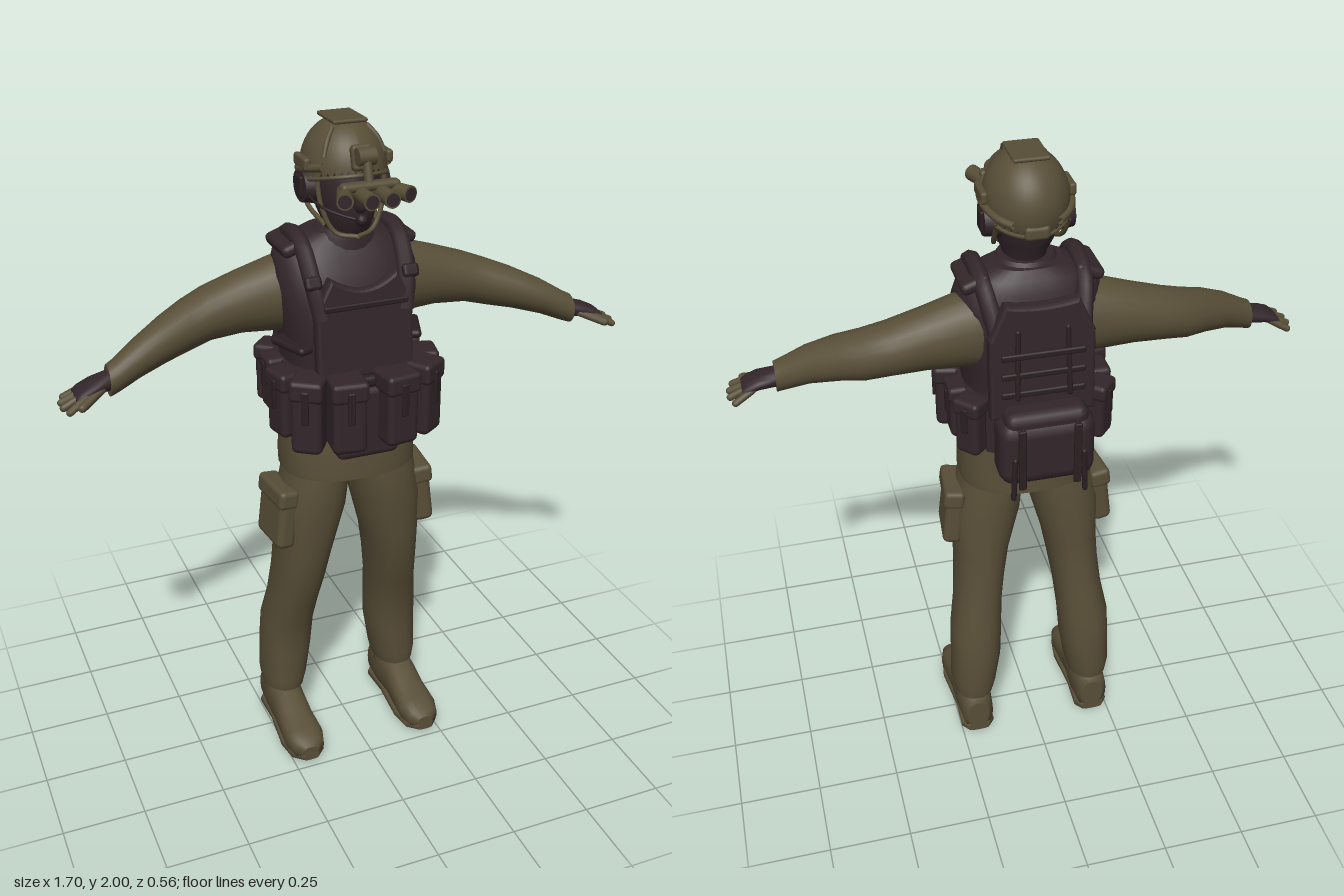
import * as THREE from 'three';
import { RoundedBoxGeometry } from 'three/addons/geometries/RoundedBoxGeometry.js';

const V = (p) => new THREE.Vector3(...p);

// Skin over elliptical sections. Each row: [t, u, v, ru, rv] with t along the axis.
// axis y: u=x v=z, axis x: u=y v=z, axis z: u=x v=y. pow < 1 squares the section.
function loft(axis, rows, pow = 1, n = 24) {
  const pos = [], idx = [];
  const put = (t, u, v) => pos.push(...(axis === 'y' ? [u, t, v] : axis === 'x' ? [t, u, v] : [u, v, t]));
  const f = (c) => Math.sign(c) * Math.abs(c) ** pow;
  const ring = ([t, u, v, ru, rv]) => {
    for (let i = 0; i < n; i++) {
      const a = (i / n) * Math.PI * 2;
      put(t, u + ru * f(Math.cos(a)), v + rv * f(Math.sin(a)));
    }
  };
  const flip = axis === 'y';
  const tri = (a, b, c) => (flip ? idx.push(a, c, b) : idx.push(a, b, c));
  rows.forEach(ring);
  for (let r = 0; r < rows.length - 1; r++) for (let i = 0; i < n; i++) {
    const j = (i + 1) % n, a = r * n, b = a + n;
    tri(a + i, a + j, b + j);
    tri(a + i, b + j, b + i);
  }
  for (const end of [0, 1]) {
    const row = rows[end ? rows.length - 1 : 0], base = pos.length / 3;
    ring(row);
    put(row[0], row[1], row[2]);
    for (let i = 0; i < n; i++) {
      const j = (i + 1) % n;
      end ? tri(base + i, base + j, base + n) : tri(base + j, base + i, base + n);
    }
  }
  const g = new THREE.BufferGeometry();
  g.setAttribute('position', new THREE.Float32BufferAttribute(pos, 3));
  g.setIndex(idx);
  g.computeVertexNormals();
  return g;
}

const box = (w, h, d, r = 0.012) => new RoundedBoxGeometry(w, h, d, 2, Math.min(r, w / 2.1, h / 2.1, d / 2.1));
const tube = (pts, r, seg = 16) => new THREE.TubeGeometry(new THREE.CatmullRomCurve3(pts.map(V)), seg, r, 8);

// Rounded rod between two points
function rod(a, b, r) {
  const A = V(a), d = V(b).sub(A);
  const q = new THREE.Quaternion().setFromUnitVectors(new THREE.Vector3(0, 1, 0), d.clone().normalize());
  return new THREE.CapsuleGeometry(r, d.length(), 4, 10).translate(0, d.length() / 2, 0).applyQuaternion(q).translate(...a);
}

function mirrored(geo) {
  const g = geo.clone();
  if (!g.index) g.setIndex([...Array(g.attributes.position.count).keys()]);
  g.scale(-1, 1, 1);
  const ix = g.index.array;
  for (let i = 0; i < ix.length; i += 3) [ix[i], ix[i + 1]] = [ix[i + 1], ix[i]];
  return g;
}

export function createModel() {
  const model = new THREE.Group();
  const mat = (name, color, side = THREE.FrontSide) => {
    const m = new THREE.MeshStandardMaterial({ color, side });
    m.name = name;
    return m;
  };
  const olive = mat('olive cloth', 0x584e37, THREE.DoubleSide);
  const dark = mat('dark brown gear', 0x33262a);
  const strap = mat('darker webbing', 0x2a1f22);

  const add = (name, m, geo, pos = [0, 0, 0], rot = [0, 0, 0]) => {
    geo.rotateX(rot[0]).rotateZ(rot[2]).rotateY(rot[1]).translate(...pos);
    const mesh = new THREE.Mesh(geo, m);
    mesh.name = name;
    model.add(mesh);
    return mesh;
  };
  const pair = (name, m, geo, pos, rot) => {
    const left = add(name + 'Left', m, geo, pos, rot);
    add(name + 'Right', m, mirrored(left.geometry));
  };

  // Trousers
  pair('trouserLeg', olive, loft('y', [
    [0.15, 0.196, -0.045, 0.064, 0.088], [0.19, 0.194, -0.045, 0.072, 0.094], [0.3, 0.184, -0.046, 0.08, 0.093],
    [0.4, 0.179, -0.036, 0.081, 0.093], [0.5, 0.166, -0.01, 0.076, 0.1], [0.6, 0.154, 0.012, 0.079, 0.109],
    [0.7, 0.143, 0.026, 0.086, 0.114], [0.85, 0.124, 0.034, 0.107, 0.122], [0.94, 0.108, 0.04, 0.1, 0.118],
    [1.02, 0.1, 0.04, 0.095, 0.11]], 0.9));
  pair('cargoPocket', olive, box(0.06, 0.19, 0.16, 0.02), [0.226, 0.835, 0.045], [0, -0.1, 0.12]);
  pair('pocketFlap', olive, box(0.064, 0.06, 0.166, 0.015), [0.224, 0.905, 0.045], [0, -0.1, 0.12]);

  // Boots
  pair('boot', olive, loft('z', [
    [-0.134, 0.197, 0.075, 0.035, 0.05], [-0.125, 0.197, 0.08, 0.05, 0.07], [-0.05, 0.197, 0.088, 0.058, 0.08],
    [0.03, 0.2, 0.08, 0.055, 0.072], [0.09, 0.2, 0.063, 0.058, 0.055], [0.17, 0.2, 0.053, 0.063, 0.044],
    [0.215, 0.2, 0.048, 0.05, 0.034], [0.233, 0.2, 0.044, 0.025, 0.018]], 0.8));
  pair('bootShaft', olive, new THREE.CylinderGeometry(0.058, 0.058, 0.13, 20), [0.197, 0.15, -0.045]);
  pair('bootSole', olive, loft('z', [
    [-0.135, 0.197, 0.019, 0.035, 0.014], [-0.11, 0.197, 0.019, 0.055, 0.015], [-0.01, 0.198, 0.02, 0.052, 0.014],
    [0.13, 0.2, 0.019, 0.065, 0.014], [0.2, 0.2, 0.021, 0.055, 0.014], [0.235, 0.2, 0.026, 0.025, 0.012]], 0.5));
  pair('soleTread', dark, box(0.07, 0.008, 0.08, 0.003), [0.198, 0.005, 0.11]);
  pair('heelTread', dark, box(0.06, 0.008, 0.05, 0.003), [0.197, 0.005, -0.085]);

  // Shirt and sleeves
  add('shirt', olive, loft('y', [
    [0.975, 0, 0.028, 0.205, 0.162], [1.0, 0, 0.028, 0.206, 0.162], [1.1, 0, 0.028, 0.203, 0.158],
    [1.25, 0, 0.015, 0.18, 0.145], [1.4, 0, 0.005, 0.18, 0.14], [1.55, 0, -0.01, 0.19, 0.12]], 0.85, 32));
  pair('sleeve', olive, loft('x', [
    [0.14, 1.51, -0.03, 0.12, 0.09], [0.21, 1.503, -0.033, 0.108, 0.088], [0.3, 1.492, -0.035, 0.091, 0.082],
    [0.4, 1.473, -0.03, 0.077, 0.08], [0.47, 1.453, -0.012, 0.072, 0.077], [0.54, 1.435, 0.018, 0.064, 0.07],
    [0.62, 1.407, 0.05, 0.055, 0.056], [0.69, 1.373, 0.072, 0.047, 0.044], [0.712, 1.364, 0.077, 0.045, 0.042]]));

  // Gloves and fingers
  pair('glove', dark, loft('x', [
    [0.69, 1.368, 0.074, 0.03, 0.034], [0.72, 1.364, 0.077, 0.026, 0.036], [0.76, 1.357, 0.083, 0.021, 0.045],
    [0.795, 1.344, 0.085, 0.017, 0.047], [0.808, 1.338, 0.085, 0.01, 0.042]], 0.9, 16));
  for (let i = 0; i < 4; i++) {
    const z = 0.048 + i * 0.025, reach = [0.83, 0.842, 0.842, 0.832][i];
    pair('finger' + (i + 1), olive, rod([0.78, 1.345, z], [reach, 1.318, z + (i - 1.2) * 0.01], 0.0105));
  }
  pair('thumb', olive, rod([0.735, 1.355, 0.105], [0.8, 1.33, 0.15], 0.0125));

  // Vest
  add('vest', dark, loft('y', [
    [1.12, 0, 0.02, 0.19, 0.15], [1.3, 0, 0.016, 0.187, 0.158], [1.4, 0, 0.014, 0.19, 0.165],
    [1.5, 0, 0.006, 0.208, 0.16], [1.58, 0, -0.002, 0.212, 0.138], [1.635, 0, -0.008, 0.198, 0.115],
    [1.665, 0, -0.01, 0.165, 0.095], [1.69, 0, -0.008, 0.1, 0.078]], 0.8, 36));

  // Plate panel with scooped neck
  const panel = (w, h, scoop) => {
    const s = new THREE.Shape();
    s.moveTo(-w, 0).lineTo(w, 0).lineTo(w, h * 0.72).lineTo(w * 0.7, h);
    s.quadraticCurveTo(0, h - scoop, -w * 0.7, h).lineTo(-w, h * 0.72).closePath();
    return new THREE.ExtrudeGeometry(s, { depth: 0.025, bevelSize: 0.01, bevelThickness: 0.01, bevelSegments: 2 });
  };
  add('frontPlate', dark, panel(0.135, 0.27, 0.07), [0, 1.31, 0.155], [-0.08, 0, 0]);
  add('backPlate', dark, panel(0.14, 0.33, 0.02), [0, 1.3, -0.185], [0.03, 0, 0]);
  add('chestStrap', strap, box(0.25, 0.018, 0.01), [0, 1.515, 0.182]);
  for (const y of [1.37, 1.43, 1.49]) add('backWebbing', strap, box(0.24, 0.02, 0.012), [0, y, -0.195]);
  pair('shoulderStrap', dark, tube([[0.125, 1.48, 0.165], [0.14, 1.58, 0.13], [0.145, 1.665, 0.065],
    [0.145, 1.68, -0.01], [0.14, 1.65, -0.09], [0.12, 1.54, -0.16]], 0.026, 24));
  pair('shoulderPad', dark, box(0.085, 0.035, 0.16, 0.015), [0.16, 1.66, -0.01], [0, 0, -0.35]);
  pair('strapBuckle', strap, box(0.05, 0.04, 0.025), [0.145, 1.585, 0.148], [-0.4, 0, 0]);
  pair('sideStrap', strap, box(0.05, 0.025, 0.14), [0.185, 1.385, 0.08], [0, -0.35, 0]);
  pair('backStrap', strap, rod([0.07, 1.56, -0.185], [0.075, 1.36, -0.2], 0.008));
  add('collar', dark, loft('y', [[1.63, 0, 0, 0.115, 0.1], [1.675, 0, 0.005, 0.1, 0.092],
    [1.7, 0, 0.012, 0.078, 0.078]]));

  // Belt and pouches
  add('belt', dark, loft('y', [[1.16, 0, 0.015, 0.208, 0.17], [1.25, 0, 0.015, 0.206, 0.17], [1.32, 0, 0.015, 0.2, 0.168]], 0.75, 36));
  const pouch = (name, x, y, z, turn, w, h, d) => {
    pair(name, dark, box(w, h, d, 0.018), [x, y, z], [0, turn, 0]);
    pair(name + 'Flap', dark, box(w + 0.008, h * 0.28, d + 0.01, 0.014), [x, y + h * 0.36, z], [0, turn, 0]);
    const out = d / 2 + 0.004;
    pair(name + 'Tab', strap, box(0.022, h * 0.45, 0.01, 0.004),
      [x + Math.sin(turn) * out, y + h * 0.16, z + Math.cos(turn) * out], [0, turn, 0]);
  };
  pouch('frontPouch', 0.076, 1.215, 0.222, 0.12, 0.1, 0.22, 0.1);
  pouch('cornerPouch', 0.172, 1.215, 0.18, 0.6, 0.09, 0.225, 0.1);
  pouch('sidePouch', 0.216, 1.225, 0.1, 1.35, 0.09, 0.2, 0.07);
  pouch('hipPouch', 0.212, 1.24, -0.015, 1.57, 0.085, 0.17, 0.05);
  pouch('rearPouch', 0.19, 1.235, -0.11, 2.3, 0.08, 0.18, 0.06);
  add('frontFlap', dark, box(0.19, 0.22, 0.05, 0.02), [0, 1.165, 0.19]);
  add('centreBuckle', strap, box(0.05, 0.035, 0.03), [0, 1.29, 0.195]);
  add('lowerBackPack', dark, box(0.28, 0.21, 0.13, 0.045), [0, 1.205, -0.205]);
  add('packLid', dark, box(0.24, 0.07, 0.12, 0.03), [0, 1.3, -0.2]);
  pair('packStrap', strap, box(0.022, 0.2, 0.012, 0.004), [0.08, 1.2, -0.273]);
  pair('hangingStrap', strap, rod([0.1, 1.2, -0.27], [0.105, 1.07, -0.268], 0.008));

  // Head, mask and neck
  add('maskedHead', dark, loft('y', [
    [1.62, 0, 0, 0.068, 0.07], [1.68, 0, 0.015, 0.062, 0.075], [1.705, 0, 0.032, 0.062, 0.085],
    [1.75, 0, 0.024, 0.08, 0.108], [1.8, 0, 0.018, 0.09, 0.116], [1.87, 0, 0.012, 0.098, 0.115], [1.92, 0, 0.01, 0.08, 0.09]]));
  add('nose', dark, new THREE.SphereGeometry(0.025, 12, 8).scale(0.8, 1.2, 1), [0, 1.79, 0.13]);

  // Helmet: dome whose edge drops toward the back
  const dome = (az, t, grow = 1) => {
    const c = Math.cos(az), th = t * Math.PI * (0.565 - 0.08 * c);
    return [Math.sin(th) * Math.sin(az) * 0.118 * grow, 1.862 + Math.cos(th) * 0.138 * grow, 0.007 + Math.sin(th) * c * 0.137 * grow];
  };
  const shell = new THREE.SphereGeometry(1, 40, 16), sp = shell.attributes.position, uv = shell.attributes.uv;
  for (let i = 0; i < sp.count; i++) sp.setXYZ(i, ...dome(uv.getX(i) * Math.PI * 2, 1 - uv.getY(i)));
  shell.computeVertexNormals();
  add('helmetShell', olive, shell);
  const rim = Array.from({ length: 24 }, (_, i) => V(dome((i / 24) * Math.PI * 2, 1)));
  add('helmetRim', olive, new THREE.TubeGeometry(new THREE.CatmullRomCurve3(rim, true), 60, 0.006, 6, true));
  pair('helmetRail', olive, tube([0.9, 1.3, 1.7, 2.2, 2.6].map((a) => dome(a, 0.87, 1.03)), 0.011));
  pair('railBlock', olive, box(0.02, 0.035, 0.09, 0.008), [0.121, 1.885, 0.01]);
  pair('crownRidge', olive, tube([0.35, 0.55, 0.75].map((t) => dome(0.9, t, 1.01)), 0.007));
  add('crownPad', olive, box(0.1, 0.012, 0.13, 0.006), [0, 1.994, 0.0]);
  add('rearDial', olive, box(0.07, 0.04, 0.025), [0, 1.815, -0.118]);

  // Headset, chin straps and microphone
  pair('earCup', dark, new THREE.CylinderGeometry(0.045, 0.052, 0.045, 20).scale(1, 1, 1.15), [0.102, 1.815, -0.002], [0, 0, -Math.PI / 2]);
  pair('earCupCap', strap, box(0.014, 0.06, 0.045, 0.006), [0.125, 1.815, -0.002]);
  pair('chinStrapFront', olive, tube([[0.1, 1.87, 0.06], [0.09, 1.77, 0.075], [0.055, 1.7, 0.09], [0, 1.69, 0.115]], 0.007));
  pair('chinStrapRear', olive, tube([[0.1, 1.82, -0.07], [0.095, 1.755, -0.02], [0.078, 1.72, 0.06]], 0.007));
  add('microphoneBoom', strap, tube([[-0.115, 1.8, 0.02], [-0.105, 1.785, 0.11], [-0.06, 1.77, 0.17], [-0.03, 1.765, 0.198]], 0.004));
  add('microphone', strap, new THREE.SphereGeometry(0.017, 12, 8), [-0.025, 1.765, 0.2]);

  // Night goggles on a folding mount
  add('mountPlate', olive, box(0.06, 0.07, 0.03), [0, 1.915, 0.137], [-0.25, 0, 0]);
  add('mountKnob', olive, new THREE.CylinderGeometry(0.024, 0.024, 0.05, 16), [0, 1.925, 0.165], [0, 0, Math.PI / 2]);
  add('mountArm', olive, rod([0, 1.915, 0.175], [0, 1.86, 0.19], 0.013));
  add('goggleBridge', olive, box(0.17, 0.025, 0.035), [0, 1.855, 0.195]);
  for (const [i, x, turn, len] of [[1, 0.029, 0, 0.125], [2, 0.076, 0.35, 0.1]]) {
    const z = 0.218 - (i - 1) * 0.015;
    pair('goggleTube' + i, olive, new THREE.CylinderGeometry(0.023, 0.019, len, 18), [x, 1.836, z], [Math.PI / 2, turn, 0]);
    pair('goggleLens' + i, dark, new THREE.CylinderGeometry(0.018, 0.018, 0.006, 18),
      [x + Math.sin(turn) * len / 2, 1.836, z + Math.cos(turn) * len / 2], [Math.PI / 2, turn, 0]);
  }
  return model;
}
